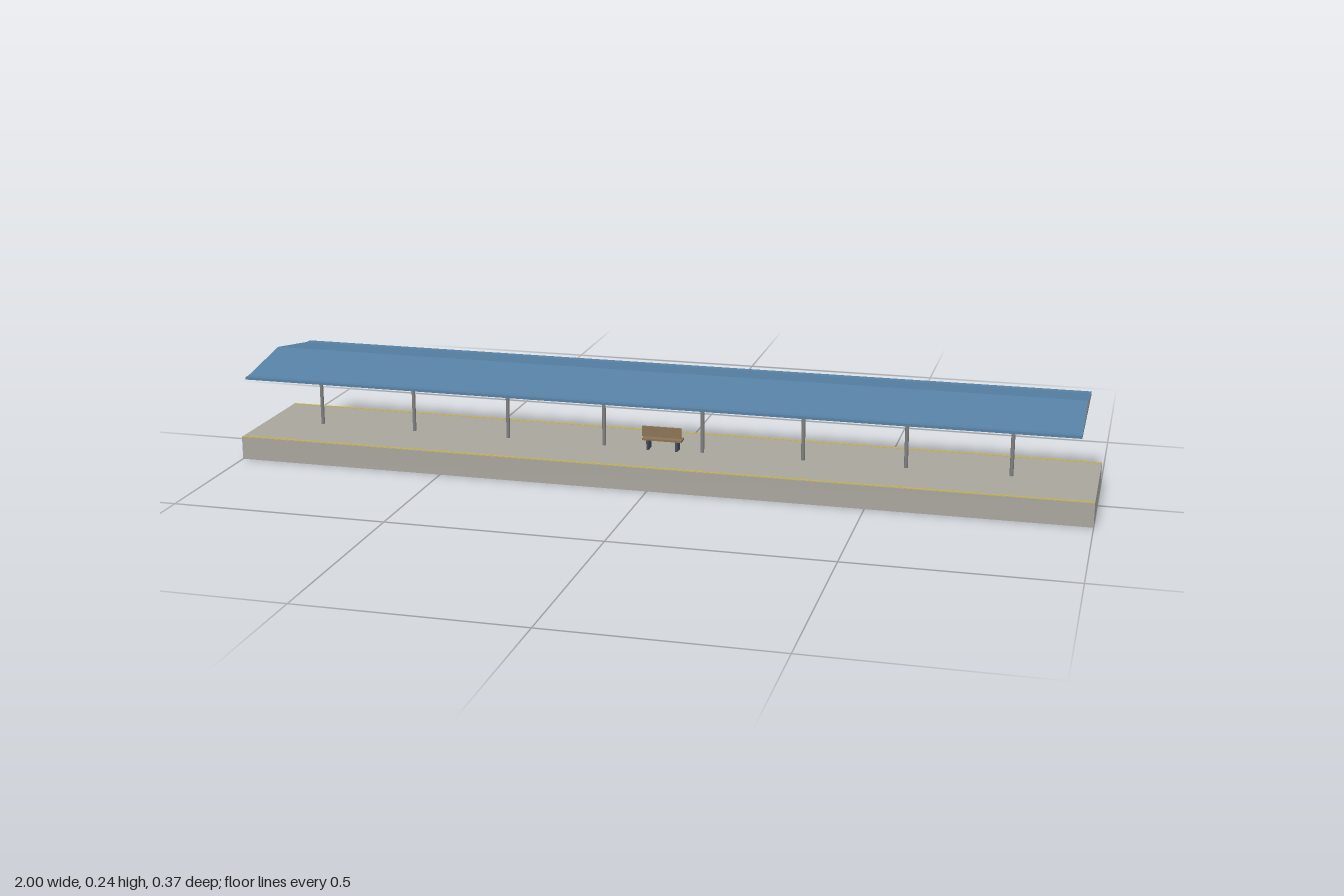
import * as THREE from 'three';

const mat = (color) => new THREE.MeshStandardMaterial({ color });

export function createModel() {
  const model = new THREE.Group();
  model.name = 'stationPlatform';

  const concrete = mat(0xa8a59c);
  const yellow = mat(0xc8b040);
  const steel = mat(0x808080);
  const blue = mat(0x5580a4);
  const gable = mat(0xaaaaaa);
  const wood = mat(0x8b7355);
  const iron = mat(0x444c5c);

  const add = (parent, name, geometry, material, x, y, z) => {
    const mesh = new THREE.Mesh(geometry, material);
    mesh.name = name;
    mesh.position.set(x, y, z);
    parent.add(mesh);
    return mesh;
  };
  const box = (parent, name, material, [w, h, d], [x, y, z]) =>
    add(parent, name, new THREE.BoxGeometry(w, h, d), material, x, y, z);

  // Platform with a safety stripe along each long edge
  const deck = 0.055;
  box(model, 'platform', concrete, [2, deck, 0.305], [0, deck / 2, 0]);
  for (const side of [-1, 1]) {
    box(model, 'safetyStripe', yellow, [2, 0.001, 0.006], [0, deck + 0.0003, side * 0.147]);
  }

  // Row of posts down the centre line
  const postTop = 0.209;
  const postGeometry = new THREE.CylinderGeometry(0.0045, 0.0045, postTop - deck, 8);
  for (let i = 0; i < 8; i++) {
    add(model, 'post', postGeometry, steel, -0.857 + i * 0.2378, (deck + postTop) / 2, 0);
  }

  // Canopy: flat soffit slab and a low pitched roof with gable ends
  const length = 1.932;
  const half = 0.1835;
  box(model, 'canopySlab', blue, [length, 0.006, half * 2], [0, 0.21, 0]);
  const profile = new THREE.Shape([
    new THREE.Vector2(-half, 0),
    new THREE.Vector2(half, 0),
    new THREE.Vector2(0, 0.031),
  ]);
  const roof = new THREE.ExtrudeGeometry(profile, { depth: length, bevelEnabled: false });
  roof.translate(0, 0, -length / 2).rotateY(Math.PI / 2);
  add(model, 'pitchedRoof', roof, [gable, blue], 0, 0.21, 0);

  // Bench
  const bench = new THREE.Group();
  bench.name = 'bench';
  model.add(bench);
  box(bench, 'seat', wood, [0.094, 0.005, 0.0285], [0, 0.0805, 0]);
  box(bench, 'backrest', wood, [0.094, 0.025, 0.004], [0, 0.1005, 0.0135]);
  for (const side of [-1, 1]) {
    box(bench, 'benchLeg', iron, [0.006, 0.024, 0.0265], [side * 0.0345, deck + 0.012, 0]);
  }

  return model;
}
